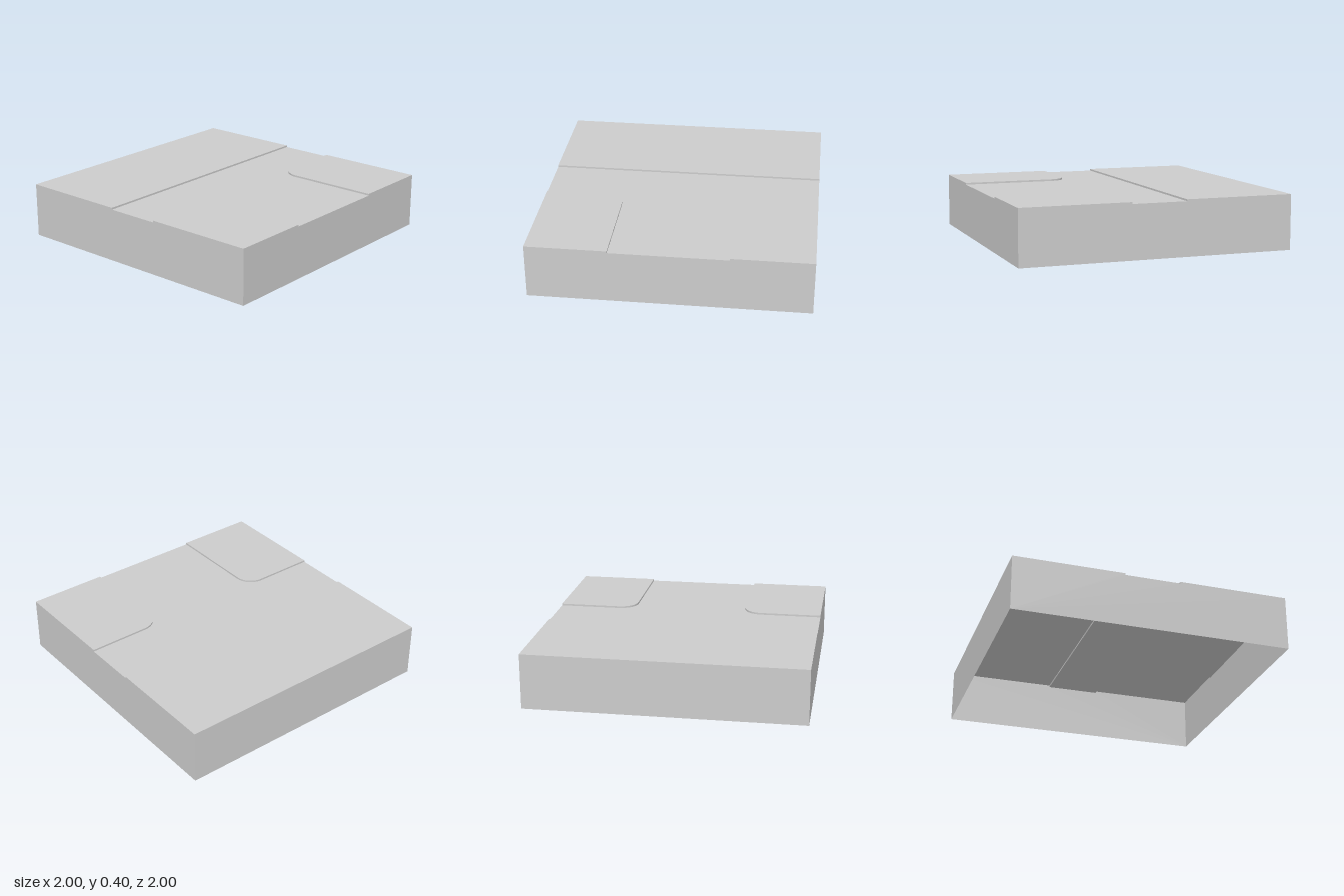
import * as THREE from 'three';

const TOP = 0.4;      // pavement height
const ROAD = 0.387;   // road height
const HALF = 0.2;     // half width of the cross road
const SIDE = 0.42;    // half width of the branch road
const R = 0.13;       // kerb corner radius

const material = new THREE.MeshStandardMaterial({ color: 0xcccccc, side: THREE.DoubleSide });

function add(group, name, geometry) {
  const mesh = new THREE.Mesh(geometry, material);
  mesh.name = name;
  group.add(mesh);
  return mesh;
}

// Flat surface from [x, z] outline points at a given height
function slab(points, y) {
  const shape = new THREE.Shape(points.map(([x, z]) => new THREE.Vector2(x, -z)));
  return new THREE.ShapeGeometry(shape).rotateX(-Math.PI / 2).translate(0, y, 0);
}

// Upright strip between road and pavement along [x, z] points
function kerb(points) {
  const position = [], index = [];
  points.forEach(([x, z], i) => {
    position.push(x, ROAD, z, x, TOP, z);
    if (i) {
      const a = 2 * i - 2;
      index.push(a, a + 2, a + 1, a + 2, a + 3, a + 1);
    }
  });
  const geometry = new THREE.BufferGeometry();
  geometry.setAttribute('position', new THREE.Float32BufferAttribute(position, 3));
  geometry.setIndex(index);
  geometry.computeVertexNormals();
  return geometry;
}

// Outer wall with an optional notch where a road runs out
function wall(notch) {
  const points = [[-1, 0], [1, 0], [1, TOP]];
  if (notch) points.push([notch, TOP], [notch, ROAD], [-notch, ROAD], [-notch, TOP]);
  points.push([-1, TOP]);
  const shape = new THREE.Shape(points.map(([x, y]) => new THREE.Vector2(x, y)));
  return new THREE.ShapeGeometry(shape).translate(0, 0, 1);
}

export function createModel() {
  const group = new THREE.Group();
  group.name = 'roadJunctionTile';

  // Kerb line of the left front corner, from the side edge to the front edge
  const left = [[1, HALF]];
  for (let i = 0; i <= 8; i++) {
    const a = (i / 8) * Math.PI / 2;
    left.push([SIDE + R - R * Math.sin(a), HALF + R - R * Math.cos(a)]);
  }
  left.push([SIDE, 1]);
  const right = left.map(([x, z]) => [-x, z]).reverse();

  // Road surface, T-shaped
  add(group, 'road', slab([[-1, -HALF], [1, -HALF], ...left, ...right], ROAD));

  // Raised pavements and their kerbs
  add(group, 'backPavement', slab([[-1, -1], [1, -1], [1, -HALF], [-1, -HALF]], TOP));
  add(group, 'leftPavement', slab([...left, [1, 1]], TOP));
  add(group, 'rightPavement', slab([...right, [-1, 1]], TOP));
  add(group, 'backKerb', kerb([[-1, -HALF], [1, -HALF]]));
  add(group, 'leftKerb', kerb(left));
  add(group, 'rightKerb', kerb(right));

  // Four walls, open underneath
  [['frontWall', SIDE], ['leftWall', HALF], ['backWall', 0], ['rightWall', HALF]]
    .forEach(([name, notch], i) => {
      add(group, name, wall(notch)).rotation.y = i * Math.PI / 2;
    });

  return group;
}
